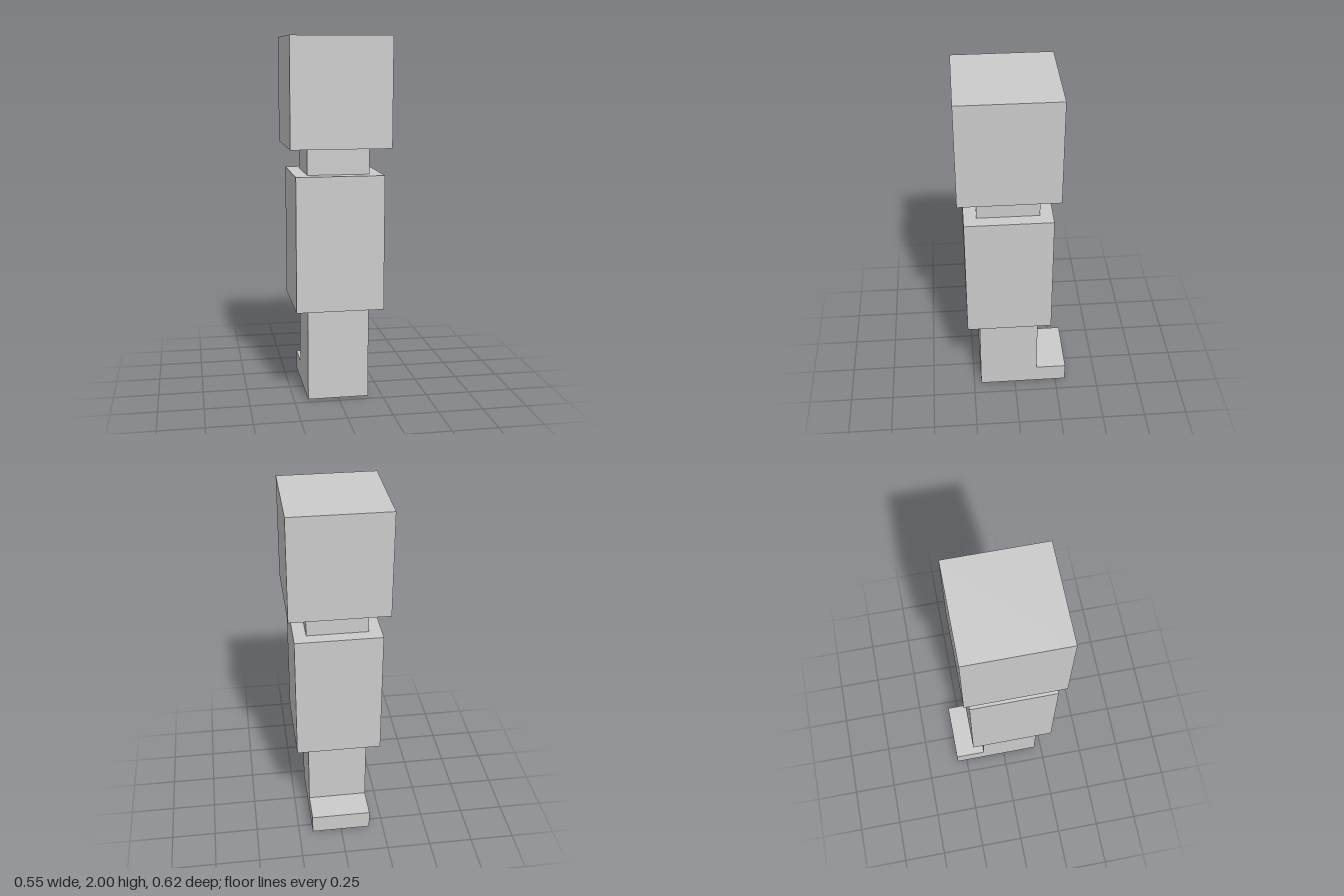
import * as THREE from 'three';

const AXIS_Z = 0.037; // all stacked blocks share this centre line

export function createModel() {
  const model = new THREE.Group();
  const material = new THREE.MeshStandardMaterial({ color: 0xcccccc, flatShading: true });

  function add(name, geometry) {
    const mesh = new THREE.Mesh(geometry, material);
    mesh.name = name;
    model.add(mesh);
  }

  // Square block between two heights
  function block(name, width, bottom, top) {
    const geometry = new THREE.BoxGeometry(width, top - bottom, width);
    geometry.translate(0, (bottom + top) / 2, AXIS_Z);
    add(name, geometry);
  }

  block('head', 0.545, 1.412, 2);
  block('neck', 0.341, 1.265, 1.412);
  block('torso', 0.482, 0.523, 1.265);

  // Leg with foot: L-shaped side profile (z, y), extruded across x
  const width = 0.341;
  const front = AXIS_Z + width / 2;
  const back = AXIS_Z - width / 2;
  const profile = new THREE.Shape([
    [front, 0], [front, 0.523], [back, 0.523],
    [back, 0.11], [-0.31, 0.11], [-0.31, 0],
  ].map(([z, y]) => new THREE.Vector2(z, y)));
  const leg = new THREE.ExtrudeGeometry(profile, { depth: width, bevelEnabled: false });
  leg.translate(0, 0, -width / 2);
  leg.rotateY(-Math.PI / 2);
  add('legAndFoot', leg);

  return model;
}
